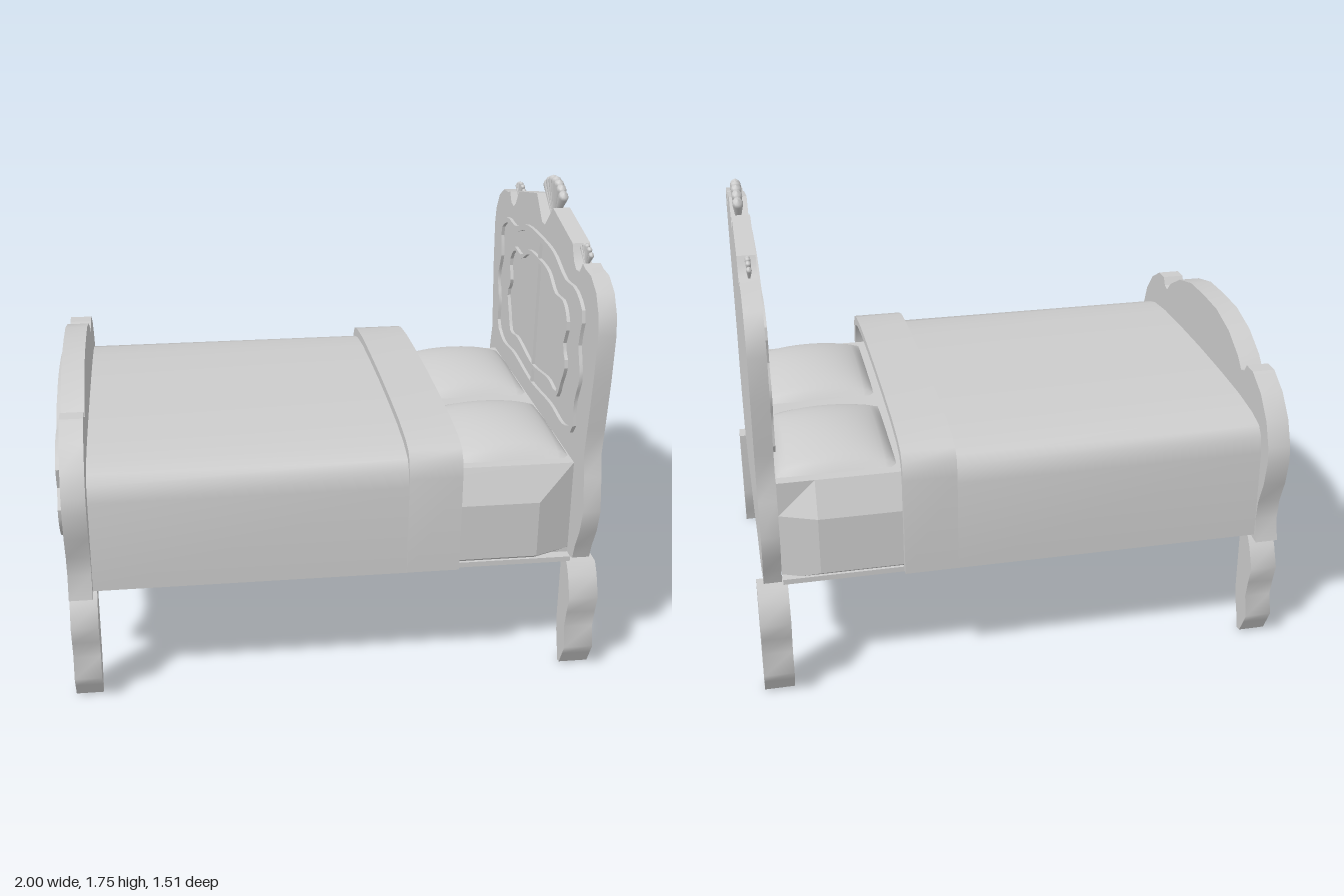
import * as THREE from 'three';
import { toCreasedNormals } from 'three/addons/utils/BufferGeometryUtils.js';

const material = new THREE.MeshStandardMaterial({ color: 0xcccccc, side: THREE.DoubleSide });
const flat = new THREE.MeshStandardMaterial({ color: 0xcccccc, flatShading: true });

// Mirrors a half outline of [z, y] points, listed from top centre to bottom centre
const mirrored = half => [
  ...half,
  ...half.slice().reverse().filter(([z]) => z > 0).map(([z, y]) => [-z, y]),
].map(([z, y]) => new THREE.Vector2(z, y));

function add(group, name, geometry, mat = material) {
  const mesh = new THREE.Mesh(geometry, mat);
  mesh.name = name;
  group.add(mesh);
  return mesh;
}

// Extrudes a shape drawn in z and y along x, from x0 to x1
function slab(group, name, shape, x0, x1, crease = 0.5) {
  let geo = new THREE.ExtrudeGeometry(shape, { depth: x1 - x0, bevelEnabled: false });
  geo = toCreasedNormals(geo, crease);
  geo.rotateY(Math.PI / 2).translate(x0, 0, 0);
  return add(group, name, geo);
}

// Curved cartouche moulding: a wavy closed band of the given width
function moulding(group, name, half, width, x0, x1) {
  const path = mirrored(half).map(p => new THREE.Vector3(p.x, p.y, 0));
  const pts = new THREE.CatmullRomCurve3(path, true, 'centripetal')
    .getSpacedPoints(72).slice(0, -1).map(p => new THREE.Vector2(p.x, p.y));
  const box = new THREE.Box2().setFromPoints(pts);
  const c = box.getCenter(new THREE.Vector2()), s = box.getSize(new THREE.Vector2());
  const shape = new THREE.Shape(pts);
  shape.holes.push(new THREE.Path(pts.map(p => new THREE.Vector2(
    c.x + (p.x - c.x) * (1 - 2 * width / s.x), c.y + (p.y - c.y) * (1 - 2 * width / s.y)))));
  slab(group, name, shape, x0, x1);
}

// Fluted shell made of tapering ribs that spread from one point
function shell(group, name, x, y, z, size, ribs) {
  const fan = new THREE.Group();
  fan.name = name;
  const r = size * 0.13;
  const profile = [[0, 0], [r, 0.9], [r * 0.75, 0.96], [0, 1]]
    .map(([a, b], i) => new THREE.Vector2(a, b * size));
  for (let i = 0; i < ribs; i++) {
    const rib = add(fan, 'shellRib', new THREE.LatheGeometry(profile, 10));
    rib.rotation.x = (i / (ribs - 1) - 0.5) * 1.3;
    rib.scale.x = 0.8;
  }
  fan.position.set(x, y, z);
  group.add(fan);
}

// Blanket cross-section: an open arch of constant thickness
function drape(group, name, x0, x1, halfWidth, top, bottom, t) {
  const arch = (w, h) => {
    const right = [[w, bottom], [w, h - 0.14], [w - 0.012, h - 0.08], [w - 0.04, h - 0.045],
      [w - 0.11, h - 0.025], [w - 0.25, h - 0.01], [w - 0.45, h - 0.003], [0, h]];
    return [...right, ...right.slice(0, -1).reverse().map(([z, y]) => [-z, y])]
      .map(([z, y]) => new THREE.Vector2(z, y));
  };
  const outline = [...arch(halfWidth, top), ...arch(halfWidth - t, top - t).reverse()];
  slab(group, name, new THREE.Shape(outline), x0, x1, 0.8);
}

export function createModel() {
  const bed = new THREE.Group();
  bed.name = 'bed';

  // Headboard with notches for the three shells
  slab(bed, 'headboard', new THREE.Shape(mirrored([
    [0, 1.57], [0.02, 1.57], [0.115, 1.66], [0.25, 1.63], [0.385, 1.6], [0.4, 1.57], [0.42, 1.54],
    [0.45, 1.52], [0.49, 1.525], [0.52, 1.565], [0.55, 1.555], [0.62, 1.55], [0.69, 1.51],
    [0.735, 1.44], [0.747, 1.37], [0.737, 1.2], [0.713, 1], [0.7, 0.9], [0.72, 0.82], [0.742, 0.69],
    [0.72, 0.6], [0.68, 0.52], [0.66, 0.46], [0.6, 0.44], [0.54, 0.44], [0.5, 0.41], [0.4, 0.4],
    [0.25, 0.42], [0, 0.4]])), 0.91, 0.975);
  moulding(bed, 'headboardOuterMoulding', [
    [0, 1.52], [0.2, 1.51], [0.36, 1.46], [0.5, 1.46], [0.6, 1.4], [0.58, 1.28], [0.62, 1.17],
    [0.58, 1.06], [0.58, 0.95], [0.48, 0.9], [0.3, 0.91], [0, 0.89]], 0.022, 0.897, 0.912);
  moulding(bed, 'headboardInnerMoulding', [
    [0, 1.43], [0.15, 1.42], [0.25, 1.37], [0.37, 1.37], [0.43, 1.3], [0.4, 1.21], [0.44, 1.15],
    [0.4, 1.06], [0.36, 0.99], [0.25, 1.0], [0, 0.97]], 0.018, 0.897, 0.912);
  add(bed, 'headboardCentreBead', new THREE.BoxGeometry(0.012, 0.62, 0.014)).position.set(0.905, 1.205, 0);
  shell(bed, 'largeShell', 0.95, 1.565, 0, 0.19, 7);
  for (const s of [-1, 1]) shell(bed, 'smallShell', 0.94, 1.525, s * 0.463, 0.095, 5);

  // Footboard with arched top and lobed apron
  slab(bed, 'footboard', new THREE.Shape(mirrored([
    [0, 1.17], [0.15, 1.165], [0.29, 1.13], [0.4, 1.07], [0.44, 1.03], [0.47, 1.04], [0.49, 1.07],
    [0.55, 1.07], [0.64, 1.02], [0.71, 0.94], [0.747, 0.85], [0.753, 0.79], [0.735, 0.69],
    [0.7, 0.6], [0.69, 0.52], [0.71, 0.43], [0.6, 0.44], [0.54, 0.43], [0.51, 0.38], [0.48, 0.34],
    [0.44, 0.33], [0.4, 0.35], [0.36, 0.4], [0.27, 0.42], [0, 0.4]])), -0.955, -0.87);
  moulding(bed, 'footboardOuterMoulding', [
    [0, 1.06], [0.2, 1.04], [0.34, 0.97], [0.48, 0.96], [0.58, 0.89], [0.56, 0.81], [0.61, 0.74],
    [0.56, 0.63], [0.44, 0.57], [0.25, 0.6], [0, 0.57]], 0.024, -0.978, -0.952);
  moulding(bed, 'footboardInnerMoulding', [
    [0, 0.98], [0.14, 0.97], [0.24, 0.91], [0.35, 0.9], [0.4, 0.83], [0.36, 0.77], [0.38, 0.7],
    [0.27, 0.65], [0.15, 0.67], [0, 0.65]], 0.02, -0.988, -0.952);
  add(bed, 'footboardCentreBead', new THREE.BoxGeometry(0.02, 0.48, 0.014)).position.set(-0.962, 0.815, 0);
  // Carved flower in the middle of the footboard
  for (let i = 0; i < 6; i++) {
    const a = i * Math.PI / 3;
    const petal = add(bed, 'flowerPetal', new THREE.SphereGeometry(0.04, 10, 8));
    petal.scale.set(0.7, 1, 0.55);
    petal.rotation.x = a;
    petal.position.set(-0.962, 0.82 + 0.05 * Math.cos(a), 0.05 * Math.sin(a));
  }
  add(bed, 'flowerCentre', new THREE.SphereGeometry(0.026, 12, 8)).position.set(-0.974, 0.82, 0);

  // Curved legs
  const legOutline = [[0.59, 0.44], [0.66, 0.44], [0.69, 0.4], [0.725, 0.32], [0.705, 0.25],
    [0.69, 0.18], [0.712, 0.1], [0.69, 0.06], [0.66, 0.005], [0.635, 0], [0.622, 0.05],
    [0.6, 0.11], [0.59, 0.16]];
  for (const [x0, x1] of [[-0.955, -0.855], [0.89, 1]]) {
    for (const s of [-1, 1]) {
      const shape = new THREE.Shape(legOutline.map(([z, y]) => new THREE.Vector2(s * z, y)));
      slab(bed, 'leg', shape, x0, x1, 0.8);
    }
  }

  // Mattress: a divided box whose side panels swell out between bevelled edges
  const mattress = new THREE.BoxGeometry(3, 3, 2, 3, 3, 1);
  const xs = [-0.868, -0.74, 0.77, 0.905], ys = [0.44, 0.48, 0.7, 0.83];
  const p = mattress.attributes.position;
  for (let i = 0; i < p.count; i++) {
    const a = Math.round(p.getX(i) + 1.5), b = Math.round(p.getY(i) + 1.5);
    const inner = a % 3 !== 0 && b % 3 !== 0;
    p.setXYZ(i, xs[a], ys[b], Math.sign(p.getZ(i)) * (inner ? 0.665 : 0.61));
  }
  add(bed, 'mattress', mattress, flat);
  // Bed base
  add(bed, 'base', new THREE.BoxGeometry(1.77, 0.02, 1.3), flat).position.set(0.02, 0.45, 0);

  // Pillows: domed sheets
  for (const s of [-1, 1]) {
    const pillow = new THREE.PlaneGeometry(0.435, 0.52, 20, 20).rotateX(-Math.PI / 2);
    const q = pillow.attributes.position;
    for (let i = 0; i < q.count; i++) {
      const u = q.getX(i) / 0.2175, v = q.getZ(i) / 0.26;
      q.setY(i, 0.085 * Math.sqrt(Math.max(0, (1 - u * u) * (1 - v * v))));
    }
    pillow.computeVertexNormals();
    add(bed, 'pillow', pillow).position.set(0.685, 0.828, s * 0.31);
  }

  // Blanket and its turned-down end
  drape(bed, 'blanket', -0.868, 0.29, 0.692, 0.943, 0.455, 0.015);
  drape(bed, 'blanketFold', 0.275, 0.47, 0.7, 0.978, 0.46, 0.03);

  return bed;
}
